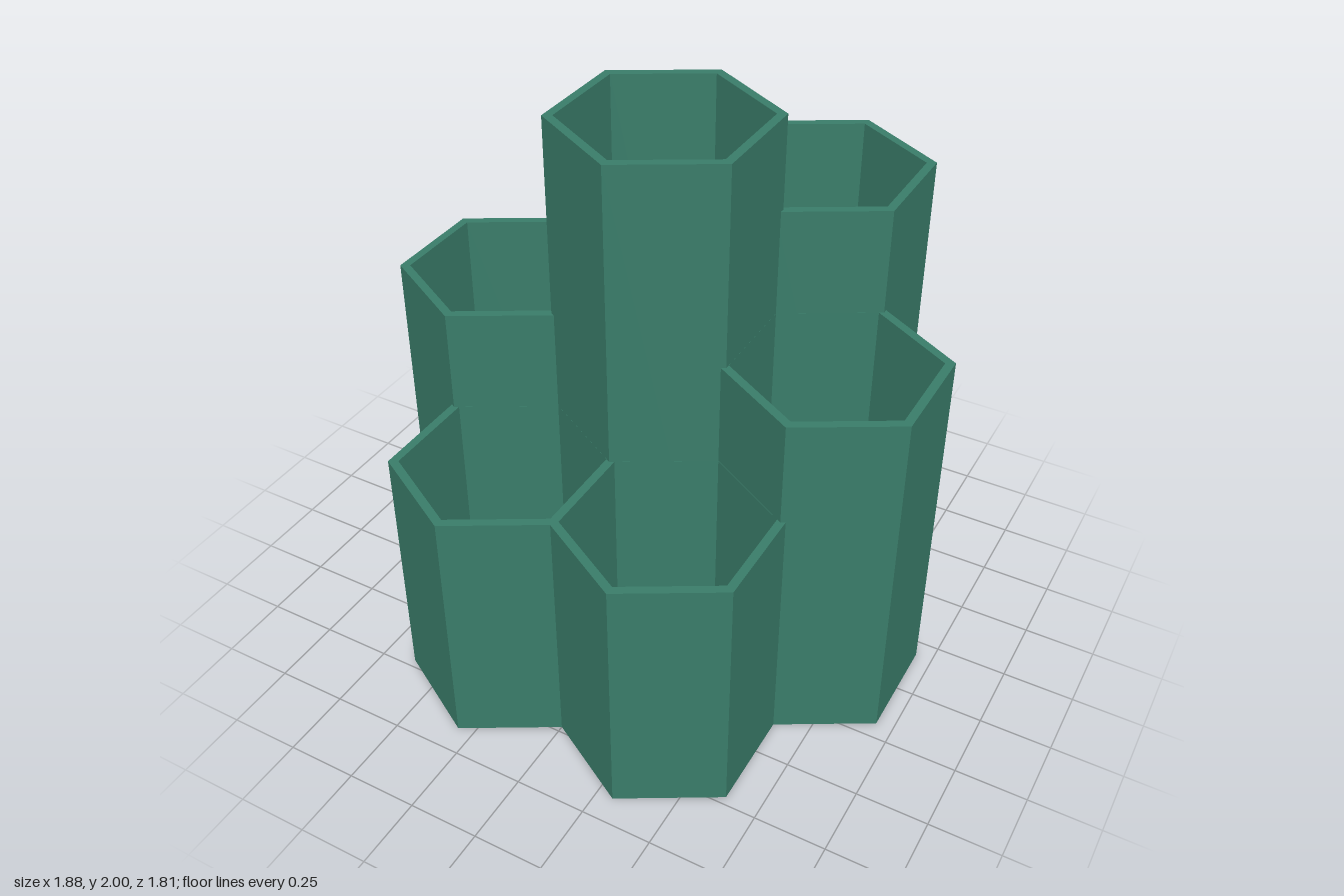
import * as THREE from 'three';

const OUTER = 0.373;   // corner radius of a cell
const INNER = 0.339;   // corner radius of its opening
const SPACING = 0.617; // neighbouring cells share one wall
const FLOOR = 0.04;

// Open-topped hexagonal cup, turned with six flat sides (corners on the z axis)
function hexCup(height) {
  const profile = [
    [0, 0], [OUTER, 0], [OUTER, height], [INNER, height], [INNER, FLOOR], [0, FLOOR],
  ].map(([r, y]) => new THREE.Vector2(r, y));
  const geometry = new THREE.LatheGeometry(profile, 6).toNonIndexed();
  geometry.computeVertexNormals(); // crisp facets
  return geometry;
}

export function createModel() {
  const group = new THREE.Group();
  group.name = 'honeycombHolder';
  const green = new THREE.MeshStandardMaterial({ color: 0x3a7d6a });
  green.name = 'green';

  function addCell(name, x, z, height) {
    const cell = new THREE.Mesh(hexCup(height), green);
    cell.name = name;
    cell.position.set(x, 0, z);
    group.add(cell);
  }

  // Tall middle cell, ringed by mirrored pairs that step down towards the front
  addCell('centreCell', 0, 0, 2);
  const rowZ = SPACING * Math.sqrt(3) / 2;
  for (const [side, s] of [['left', 1], ['right', -1]]) {
    addCell(side + 'FrontCell', s * SPACING / 2, rowZ, 0.92);
    addCell(side + 'SideCell', s * SPACING, 0, 1.29);
    addCell(side + 'BackCell', s * SPACING / 2, -rowZ, 1.67);
  }
  return group;
}
